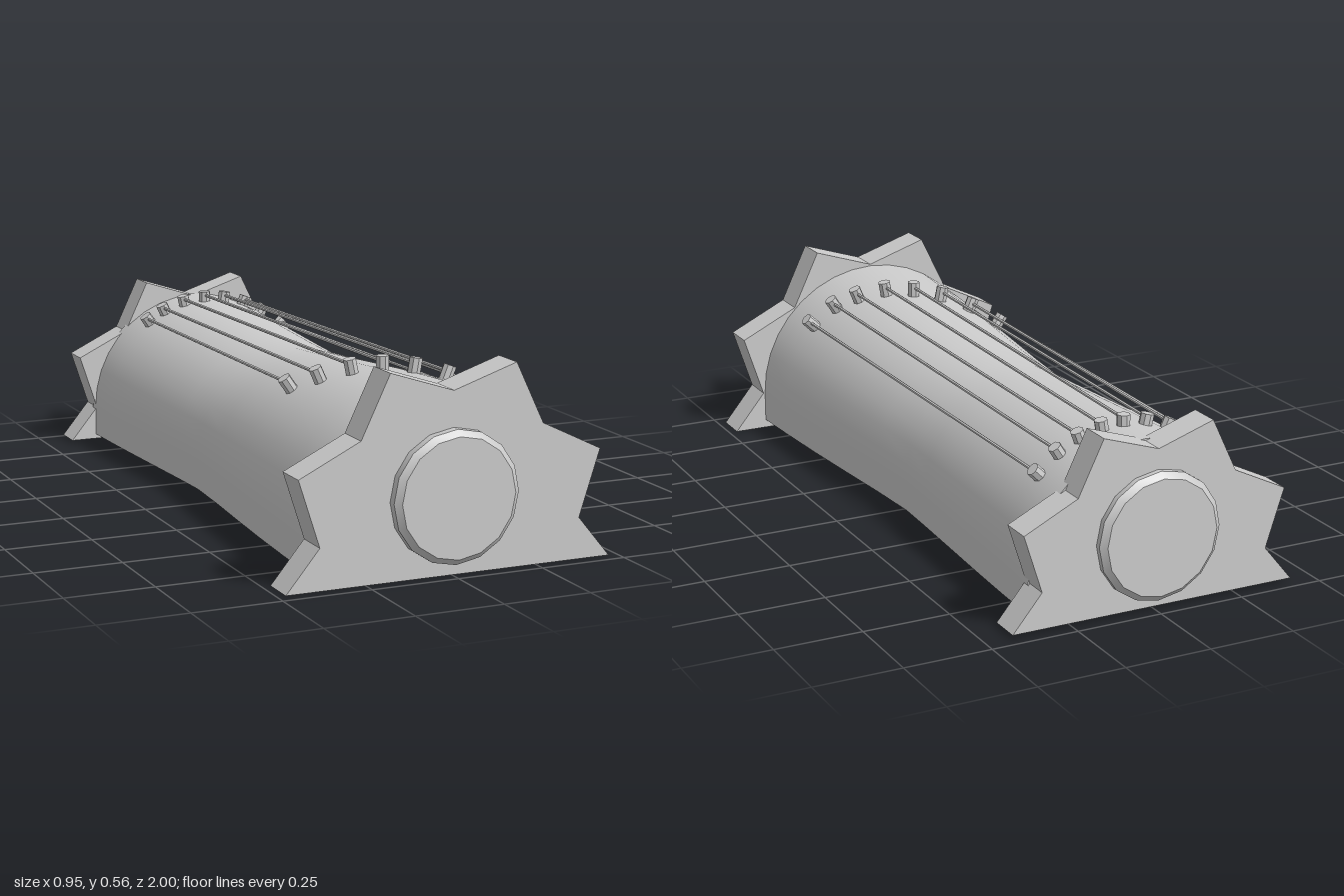
import * as THREE from 'three';
import { toCreasedNormals } from 'three/addons/utils/BufferGeometryUtils.js';

const grey = new THREE.MeshStandardMaterial({ color: 0xcccccc });
const AXIS_Y = 0.115, FLOOR_Y = 0.025;

// Arch radius along the length: [z, radius], narrowest at the waist
const PROFILE = [
  [-0.9, 0.345], [-0.75, 0.341], [-0.6, 0.335], [-0.4, 0.325], [-0.2, 0.315], [-0.07, 0.31],
  [0.1, 0.321], [0.3, 0.338], [0.5, 0.354], [0.7, 0.367], [0.9, 0.377],
];

function radiusAt(z) {
  const i = Math.max(1, PROFILE.findIndex(p => p[0] >= z));
  const [z0, r0] = PROFILE[i - 1], [z1, r1] = PROFILE[i];
  return r0 + (r1 - r0) * (z - z0) / (z1 - z0);
}

function add(parent, name, geometry) {
  const mesh = new THREE.Mesh(geometry, grey);
  mesh.name = name;
  parent.add(mesh);
  return mesh;
}

// Cylinder running between two points
function rod(parent, name, a, b, radius, sides) {
  const dir = b.clone().sub(a);
  const geo = toCreasedNormals(new THREE.CylinderGeometry(radius, radius, dir.length(), sides), 0.6);
  const mesh = add(parent, name, geo);
  mesh.position.copy(a).add(b).multiplyScalar(0.5);
  mesh.quaternion.setFromUnitVectors(new THREE.Vector3(0, 1, 0), dir.normalize());
  return mesh;
}

// Arched sound body with straight lower sides and a flat underside
function bodyGeometry() {
  const seg = 18, pos = [], idx = [], n = seg + 3;
  for (const [z, r] of PROFILE) {
    pos.push(r, FLOOR_Y, z);
    for (let j = 0; j <= seg; j++) {
      const t = Math.PI * j / seg;
      pos.push(r * Math.cos(t), AXIS_Y + r * Math.sin(t), z);
    }
    pos.push(-r, FLOOR_Y, z);
  }
  for (let i = 0; i < PROFILE.length - 1; i++) {
    for (let j = 0; j < n; j++) {
      const k = (j + 1) % n;
      const a = i * n + j, b = i * n + k, c = b + n, d = a + n;
      idx.push(a, b, c, a, c, d);
    }
  }
  const last = (PROFILE.length - 1) * n;
  for (let j = 1; j < n - 1; j++) {
    idx.push(0, j + 1, j, last, last + j, last + j + 1);
  }
  const geo = new THREE.BufferGeometry();
  geo.setAttribute('position', new THREE.Float32BufferAttribute(pos, 3));
  geo.setIndex(idx);
  return toCreasedNormals(geo, 0.7);
}

// Star-shaped end plate, mirrored about its centre line
function plateGeometry(scale, depth) {
  const half = [[0.475, 0], [0.38, 0.115], [0.44, 0.3], [0.265, 0.385], [0.183, 0.555]];
  const outline = [...half, [0, 0.495], ...half.slice().reverse().map(([x, y]) => [-x, y])];
  const shape = new THREE.Shape(outline.map(([x, y]) => new THREE.Vector2(x * scale, y * scale)));
  return new THREE.ExtrudeGeometry(shape, { depth, bevelEnabled: false });
}

export function createModel() {
  const group = new THREE.Group();
  group.name = 'stringInstrument';

  add(group, 'body', bodyGeometry());

  add(group, 'frontPlate', plateGeometry(1, 0.1)).position.z = 0.861;
  add(group, 'backPlate', plateGeometry(0.895, 0.092)).position.set(0, 0.011, -0.969);

  // Bevelled round caps on both ends
  for (const s of [1, -1]) {
    const pts = [[0, 0.9], [0.182, 0.9], [0.182, 0.985], [0.165, 1], [0, 1]];
    const geo = new THREE.LatheGeometry(pts.map(p => new THREE.Vector2(...p)), 16);
    const cap = add(group, s > 0 ? 'frontCap' : 'backCap', toCreasedNormals(geo, 0.5));
    cap.rotation.x = s * Math.PI / 2;
    cap.position.y = 0.215;
  }

  // Strings: [front x, front z, back x], each stretched between two pegs
  const strings = [
    [-0.205, 0.355, -0.205], [-0.152, 0.44, -0.15], [-0.08, 0.5, -0.08], [-0.008, 0.55, -0.008],
    [0.066, 0.6, 0.06], [0.145, 0.64, 0.13], [0.21, 0.672, 0.195], [0.28, 0.693, 0.258],
  ];
  const backZ = -0.768;
  // Point above the arch at a given height, in line with the peg at x
  const above = (x, z, h) => {
    const r = radiusAt(z), t = Math.asin(x / (r + 0.02));
    return new THREE.Vector3((r + h) * Math.sin(t), AXIS_Y + (r + h) * Math.cos(t), z);
  };
  strings.forEach(([fx, fz, bx], i) => {
    const set = new THREE.Group();
    set.name = `string${i + 1}`;
    rod(set, 'frontPeg', above(fx, fz, -0.015), above(fx, fz, 0.042), 0.019, 8);
    rod(set, 'backPeg', above(bx, backZ, -0.015), above(bx, backZ, 0.03), 0.019, 8);
    rod(set, 'wire', above(fx, fz, 0.025), above(bx, backZ, 0.018), 0.005, 6);
    group.add(set);
  });

  return group;
}
